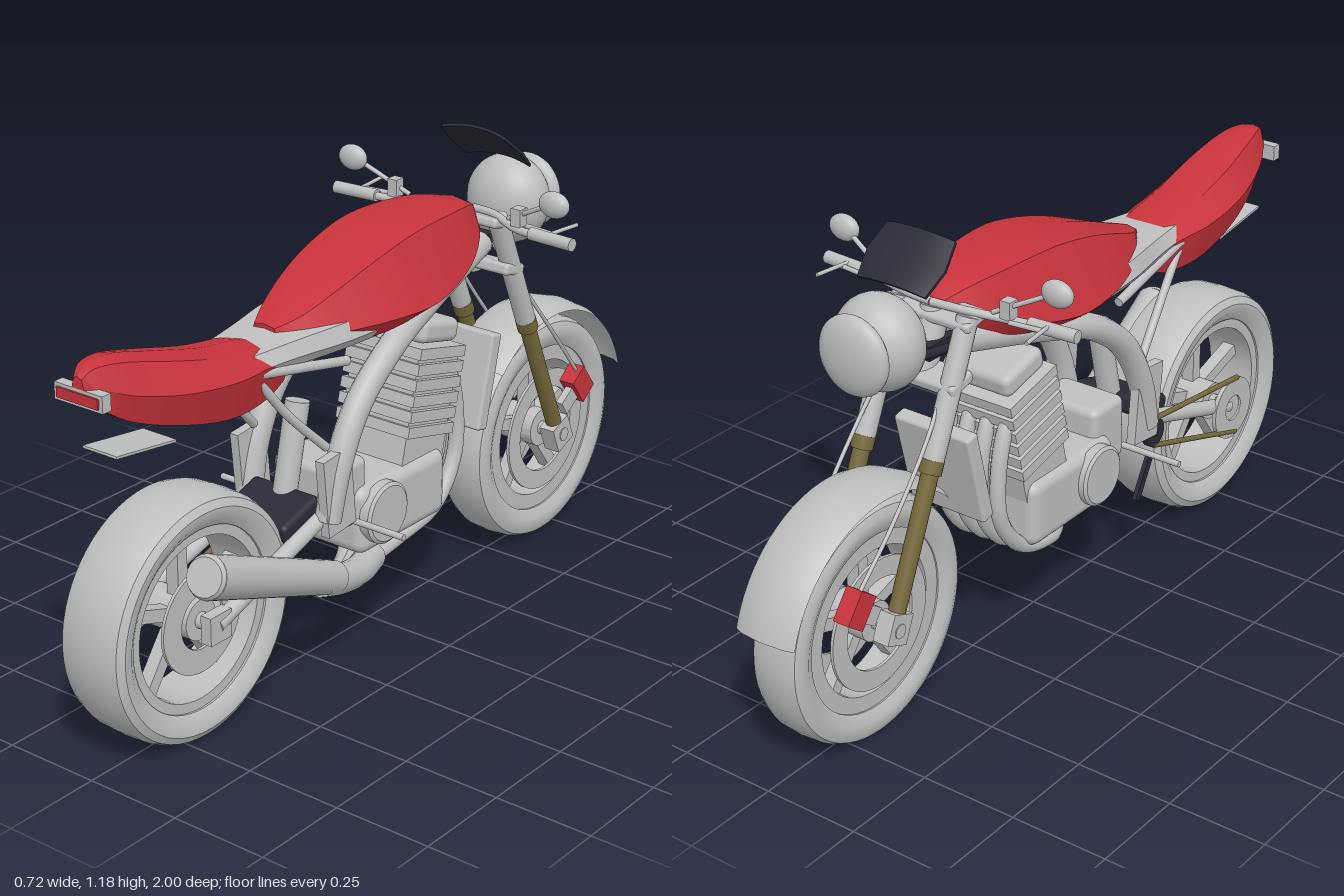
import * as THREE from 'three';
import { toCreasedNormals } from 'three/addons/utils/BufferGeometryUtils.js';
import { RoundedBoxGeometry } from 'three/addons/geometries/RoundedBoxGeometry.js';

const makeMat = (name, color) => {
  const m = new THREE.MeshStandardMaterial({ color, side: THREE.DoubleSide });
  m.name = name;
  return m;
};
const V = (p) => new THREE.Vector3(...p);

export function createModel() {
  const root = new THREE.Group();
  root.name = 'motorcycle';
  const grey = makeMat('lightGrey', 0xbfbfbf);
  const red = makeMat('redPaint', 0xc8333b);
  const dark = makeMat('darkPlastic', 0x2b2a36);
  const bronze = makeMat('bronze', 0x75683a);

  const add = (name, geo, mat, pos = [0, 0, 0], tilt = 0, parent = root) => {
    const m = new THREE.Mesh(geo, mat);
    m.name = name;
    m.position.set(...pos);
    m.rotation.x = tilt;
    parent.add(m);
    return m;
  };
  const box = (name, size, pos, mat = grey, tilt = 0) => add(name, new THREE.BoxGeometry(...size), mat, pos, tilt);
  const rounded = (name, size, r, pos, tilt = 0, mat = grey) => add(name, new RoundedBoxGeometry(...size, 3, r), mat, pos, tilt);
  const tube = (name, pts, r, mat = grey, seg = 32) =>
    add(name, new THREE.TubeGeometry(new THREE.CatmullRomCurve3(pts.map(V)), seg, r, 12), mat);
  const bar = (name, a, b, r, mat = grey, r2 = r) => {
    const A = V(a), B = V(b), d = B.clone().sub(A);
    const m = add(name, new THREE.CylinderGeometry(r2, r, d.length(), 20), mat, A.clone().add(B).multiplyScalar(0.5).toArray());
    m.quaternion.setFromUnitVectors(new THREE.Vector3(0, 1, 0), d.normalize());
    return m;
  };
  const ball = (name, pos, scale, mat = grey) => {
    const m = add(name, new THREE.SphereGeometry(1, 28, 18), mat, pos);
    m.scale.set(...scale);
    return m;
  };
  // surface of revolution about the x axis; points are [radius, x]
  const spin = (pts, start = 0, length = Math.PI * 2, seg = 56) => {
    const g = new THREE.LatheGeometry(pts.map((p) => new THREE.Vector2(p[0], p[1])), seg, start, length);
    g.rotateZ(-Math.PI / 2);
    return toCreasedNormals(g, 0.6);
  };
  const ring = (ri, ro, w) => spin([[ri, -w], [ro, -w], [ro, w], [ri, w], [ri, -w]]);
  // body loft; rows are [z, top, shoulder x, y, waist x, y, base x, y]
  const loft = (name, rows, mat, n = 24) => {
    const cols = [1, 2, 3, 4, 5, 6, 7].map((k) => new THREE.SplineCurve(rows.map((r) => new THREE.Vector2(r[0], r[k]))));
    const pos = [], idx = [], N = 8;
    for (let i = 0; i <= n; i++) {
      const z = cols[0].getPoint(i / n).x;
      const [t, sx, sy, wx, wy, bx, by] = cols.map((c) => c.getPoint(i / n).y);
      const half = [[sx, sy], [wx, wy], [bx, by]];
      const loop = [[0, t], ...half, [0, by], ...half.slice().reverse().map(([x, y]) => [-x, y])];
      for (const [x, y] of loop) pos.push(x, y, z);
    }
    for (let i = 0; i < n; i++) for (let j = 0; j < N; j++) {
      const a = i * N + j, b = i * N + (j + 1) % N, c = a + N, d = b + N;
      idx.push(a, c, b, b, c, d);
    }
    for (let j = 1; j < N - 1; j++) idx.push(0, j, j + 1, n * N, n * N + j + 1, n * N + j);
    const g = new THREE.BufferGeometry();
    g.setAttribute('position', new THREE.Float32BufferAttribute(pos, 3));
    g.setIndex(idx);
    return add(name, toCreasedNormals(g, 0.42), mat);
  };

  // wheels
  const wheel = (name, z, w, rimIn, discOut, discIn, discX) => {
    const g = new THREE.Group();
    g.name = name;
    g.position.set(0, 0.303, z);
    root.add(g);
    const side = [[0.225, 0.78], [0.25, 0.98], [0.272, 1], [0.29, 0.88], [0.299, 0.6]];
    const profile = [...side.map(([r, k]) => [r, -k * w]), [0.302, 0], ...side.slice().reverse().map(([r, k]) => [r, k * w]), [0.225, -0.78 * w]];
    add('tyre', spin(profile), grey, [0, 0, 0], 0, g);
    add('rim', ring(rimIn, 0.228, w * 0.72), grey, [0, 0, 0], 0, g);
    for (const x of discX) add('brakeDisc', ring(discIn, discOut, 0.004), grey, [x, 0, 0], 0, g);
    add('hub', ring(0.012, 0.05, w * 0.75), grey, [0, 0, 0], 0, g);
    for (let i = 0; i < 5; i++) {
      const a = (i / 5) * Math.PI * 2;
      add('spoke', new THREE.BoxGeometry(0.035, rimIn - 0.02, 0.032), grey,
        [0, Math.cos(a) * (rimIn / 2 + 0.02), Math.sin(a) * (rimIn / 2 + 0.02)], a, g);
    }
  };
  wheel('rearWheel', 0.7, 0.092, 0.2, 0.13, 0.07, [0.07]);
  wheel('frontWheel', -0.67, 0.068, 0.185, 0.165, 0.115, [-0.06, 0.06]);
  bar('rearAxle', [-0.13, 0.303, 0.7], [0.13, 0.303, 0.7], 0.02);
  bar('frontAxle', [-0.125, 0.303, -0.67], [0.125, 0.303, -0.67], 0.018);
  add('frontFender', spin([[0.325, -0.085], [0.338, -0.06], [0.346, 0], [0.338, 0.06], [0.325, 0.085]], Math.PI + 0.28, 2.08), grey, [0, 0.303, -0.67]);

  // tank, seat base and tail
  loft('fuelTank', [
    [-0.385, 0.985, 0.015, 0.98, 0.02, 0.97, 0.015, 0.955], [-0.33, 1.025, 0.06, 1.015, 0.085, 0.95, 0.06, 0.915],
    [-0.22, 1.042, 0.09, 1.03, 0.14, 0.905, 0.11, 0.87], [-0.05, 1.04, 0.105, 1.03, 0.174, 0.87, 0.13, 0.84],
    [0.1, 1.01, 0.1, 1.0, 0.165, 0.87, 0.13, 0.83], [0.22, 0.97, 0.085, 0.96, 0.128, 0.87, 0.1, 0.83],
    [0.32, 0.93, 0.06, 0.92, 0.085, 0.87, 0.07, 0.83], [0.385, 0.905, 0.03, 0.9, 0.035, 0.87, 0.03, 0.84]], red, 28);
  loft('seatBase', [
    [0.12, 0.89, 0.12, 0.885, 0.14, 0.85, 0.12, 0.825], [0.25, 0.9, 0.115, 0.89, 0.13, 0.85, 0.11, 0.825],
    [0.38, 0.895, 0.09, 0.885, 0.105, 0.85, 0.09, 0.825], [0.5, 0.885, 0.07, 0.88, 0.09, 0.85, 0.08, 0.83]], grey, 10);
  loft('tailSeat', [
    [0.4, 0.865, 0.05, 0.86, 0.085, 0.83, 0.07, 0.79], [0.47, 0.895, 0.055, 0.885, 0.095, 0.85, 0.075, 0.765],
    [0.6, 0.915, 0.06, 0.905, 0.112, 0.86, 0.085, 0.765], [0.75, 0.955, 0.06, 0.945, 0.105, 0.88, 0.08, 0.8],
    [0.88, 0.99, 0.045, 0.98, 0.075, 0.91, 0.055, 0.845], [0.955, 0.99, 0.025, 0.985, 0.04, 0.94, 0.03, 0.895],
    [0.985, 0.97, 0.012, 0.965, 0.018, 0.94, 0.012, 0.92]], red, 26);
  box('tailLightHousing', [0.14, 0.04, 0.026], [0, 0.922, 0.972]);
  box('tailLightLens', [0.12, 0.024, 0.006], [0, 0.922, 0.987], red);
  box('licencePlate', [0.1, 0.006, 0.19], [0, 0.765, 0.835], grey, -0.13);
  box('underTankPlate', [0.18, 0.02, 0.5], [0, 0.828, 0.1]);

  // frame, rear linkage and footrests, mirrored
  for (const s of [-1, 1]) {
    tube('mainFrameTube', [[s * 0.12, 0.42, 0.31], [s * 0.125, 0.55, 0.275], [s * 0.125, 0.68, 0.2], [s * 0.12, 0.78, 0.07],
      [s * 0.095, 0.835, -0.1], [s * 0.05, 0.9, -0.38]], 0.033);
    tube('rearFrameTube', [[s * 0.08, 0.82, 0.5], [s * 0.09, 0.71, 0.41], [s * 0.11, 0.6, 0.3]], 0.011);
    bar('subframeRail', [s * 0.085, 0.84, 0.5], [s * 0.1, 0.785, 0.21], 0.012);
    box('footrestBracket', [0.025, 0.2, 0.1], [s * 0.13, 0.49, 0.29], grey, 0.1);
    bar('footrest', [s * 0.11, 0.39, 0.225], [s * 0.28, 0.39, 0.225], 0.008);
    bar('swingarm', [s * 0.105, 0.43, 0.3], [s * 0.115, 0.305, 0.7], 0.02);
    box('axleBlock', [0.03, 0.07, 0.07], [s * 0.115, 0.303, 0.7]);
  }
  rounded('swingarmBridge', [0.2, 0.05, 0.14], 0.015, [0, 0.435, 0.37], 0.3, dark);
  bar('rearShock', [0, 0.42, 0.33], [0, 0.68, 0.27], 0.03);
  box('rearCaliper', [0.03, 0.06, 0.045], [0.085, 0.36, 0.61], red, 0.5);

  // chain drive
  bar('chainUpper', [-0.132, 0.425, 0.33], [-0.132, 0.385, 0.72], 0.007, bronze);
  bar('chainLower', [-0.132, 0.35, 0.33], [-0.132, 0.225, 0.72], 0.007, bronze);
  add('rearSprocket', ring(0.035, 0.085, 0.006), grey, [-0.13, 0.303, 0.7]);
  add('frontSprocket', ring(0.01, 0.038, 0.008), dark, [-0.13, 0.388, 0.33]);
  box('sideStand', [0.012, 0.12, 0.02], [-0.135, 0.28, 0.28], dark, 0.5);

  // engine
  rounded('crankcase', [0.24, 0.175, 0.34], 0.03, [0, 0.355, 0.01]);
  rounded('gearbox', [0.19, 0.17, 0.13], 0.02, [0, 0.43, 0.19]);
  for (const s of [-1, 1]) add('engineCover', spin([[0, -0.015], [0.078, -0.015], [0.078, 0.01], [0.07, 0.016], [0, 0.016]], 0, Math.PI * 2, 36), grey, [s * 0.125, 0.365, 0.1]).rotation.y = s < 0 ? Math.PI : 0;
  const lean = -0.24;
  const along = (d) => [0, 0.6 + d * Math.cos(lean), -0.125 + d * Math.sin(lean)];
  box('cylinderBlock', [0.2, 0.3, 0.165], along(-0.04), grey, lean);
  for (let i = 0; i < 6; i++) box('coolingFin', [0.225, 0.028, 0.185], along(-0.098 + i * 0.039), grey, lean);
  rounded('cylinderHeadCover', [0.2, 0.06, 0.15], 0.02, along(0.147), lean);
  rounded('radiator', [0.22, 0.25, 0.04], 0.008, [0, 0.55, -0.35], lean);

  // exhaust
  for (const x of [-0.08, -0.027, 0.027, 0.08]) {
    tube('headerPipe', [[x, 0.66, -0.18], [x, 0.62, -0.215], [x, 0.52, -0.245], [x, 0.38, -0.24], [x, 0.275, -0.16],
      [x * 0.9, 0.235, -0.02], [0.05 + x * 0.4, 0.225, 0.12], [0.08 + x * 0.25, 0.225, 0.2]], 0.02, grey, 40);
  }
  tube('exhaustCollector', [[0.07, 0.225, 0.08], [0.1, 0.228, 0.17], [0.125, 0.255, 0.28], [0.14, 0.285, 0.36]], 0.037);
  bar('muffler', [0.13, 0.27, 0.3], [0.182, 0.485, 0.8], 0.041, grey, 0.052);
  bar('mufflerCap', [0.182, 0.485, 0.8], [0.184, 0.49, 0.812], 0.052, grey, 0.045);

  // fork, brakes and controls, mirrored
  for (const s of [-1, 1]) {
    const x = s * 0.1;
    bar('forkUpper', [x, 0.975, -0.38], [x, 0.65, -0.52], 0.026);
    bar('forkCollar', [x, 0.67, -0.512], [x, 0.64, -0.525], 0.027, bronze);
    bar('forkLower', [x, 0.65, -0.52], [x, 0.34, -0.653], 0.021, bronze);
    box('axleClamp', [0.045, 0.075, 0.07], [x, 0.305, -0.668], grey, 0.4);
    box('caliperBracket', [0.02, 0.045, 0.08], [s * 0.085, 0.375, -0.745], grey, 0.6);
    box('frontCaliper', [0.045, 0.085, 0.06], [s * 0.085, 0.405, -0.78], red, 0.65);
    tube('brakeHose', [[s * 0.07, 0.9, -0.4], [s * 0.095, 0.75, -0.51], [s * 0.1, 0.58, -0.65], [s * 0.09, 0.43, -0.78]], 0.005);
    tube('handlebar', [[0, 0.985, -0.385], [s * 0.09, 0.985, -0.375], [s * 0.18, 0.975, -0.34], [s * 0.25, 0.975, -0.328]], 0.01);
    bar('grip', [s * 0.235, 0.976, -0.33], [s * 0.36, 0.976, -0.322], 0.016);
    bar('lever', [s * 0.2, 0.98, -0.36], [s * 0.285, 0.98, -0.35], 0.006);
    bar('leverTip', [s * 0.287, 0.985, -0.33], [s * 0.3, 0.985, -0.43], 0.005);
    box('fluidReservoir', [0.028, 0.045, 0.03], [s * 0.188, 1.005, -0.345]);
    bar('mirrorStem', [s * 0.15, 0.99, -0.355], [s * 0.29, 1.06, -0.325], 0.006);
    ball('mirror', [s * 0.305, 1.065, -0.322], [0.042, 0.033, 0.022]);
    bar('headlightBracket', [s * 0.06, 0.89, -0.38], [s * 0.075, 0.925, -0.535], 0.011, dark);
  }
  rounded('upperForkClamp', [0.25, 0.025, 0.08], 0.01, [0, 0.965, -0.375], lean);
  rounded('lowerForkClamp', [0.25, 0.03, 0.08], 0.01, [0, 0.83, -0.43], lean);
  bar('steeringHead', [0, 0.97, -0.37], [0, 0.82, -0.425], 0.035);
  box('steeringMount', [0.09, 0.035, 0.1], [0, 0.89, -0.4], dark);

  // headlight and windscreen
  ball('headlightBowl', [0, 0.957, -0.568], [0.113, 0.115, 0.09]);
  ball('headlightLens', [0, 0.957, -0.655], [0.096, 0.097, 0.037]);
  const screen = new THREE.BoxGeometry(0.22, 0.008, 0.145, 16, 1, 4);
  const p = screen.attributes.position;
  for (let i = 0; i < p.count; i++) {
    const x = p.getX(i), z = p.getZ(i);
    p.setX(i, x * (1 - 0.12 * Math.abs(z) / 0.07));
    p.setY(i, p.getY(i) - 1.3 * x * x + 0.005);
  }
  screen.computeVertexNormals();
  add('windscreen', screen, dark, [0, 1.126, -0.475], -0.71);
  return root;
}
